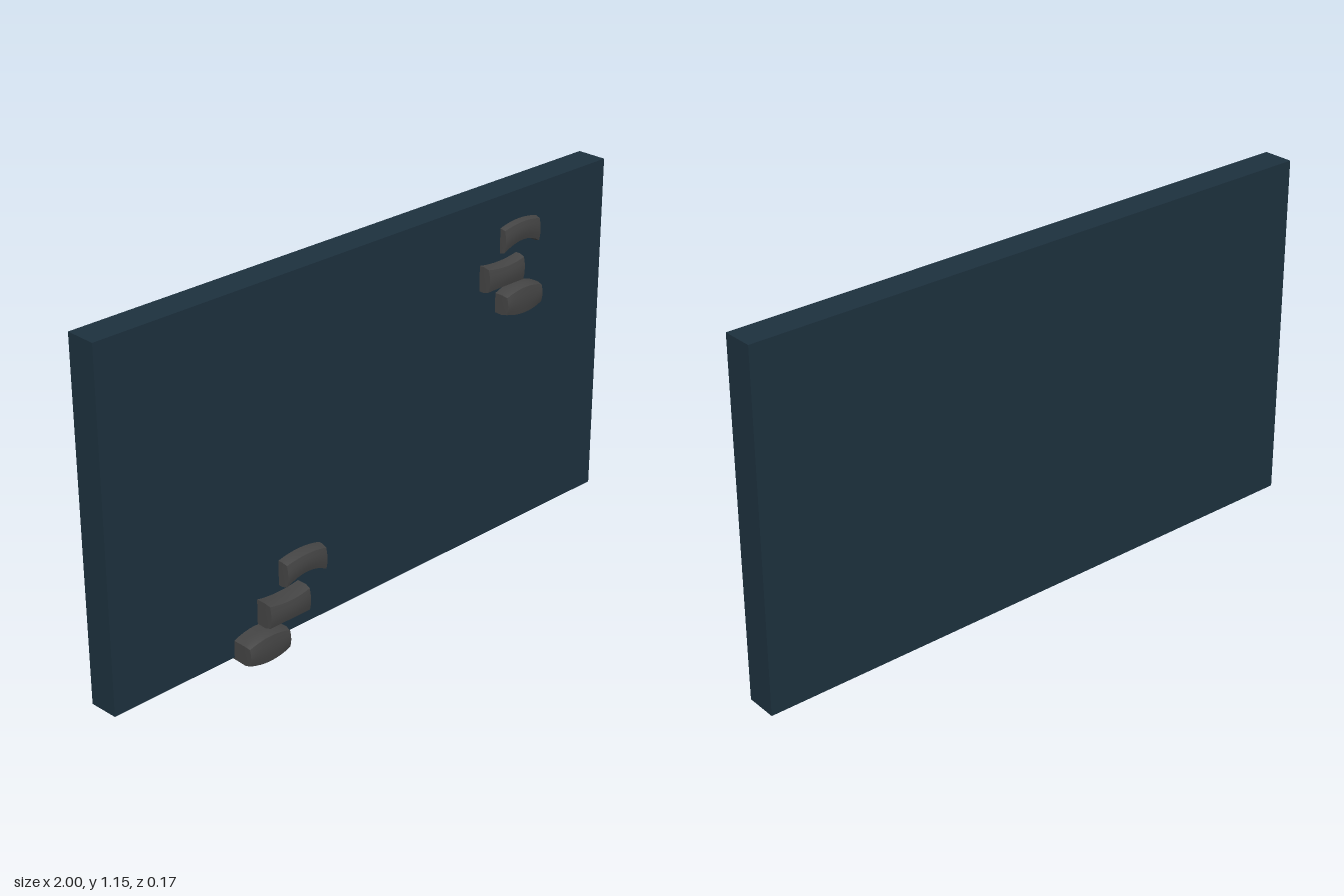
import * as THREE from 'three';

const slabMaterial = new THREE.MeshStandardMaterial({ color: 0x1d313e });
const holdMaterial = new THREE.MeshStandardMaterial({ color: 0x444444 });

// Outline of each hold: top and bottom heights as functions of t = -1..1 along its width
const bump = (t) => 1 - t * t;
const shapes = {
  arched: { top: (t) => 0.037 + 0.011 * bump(t), bottom: (t) => -0.046 + 0.026 * bump(t) },
  waisted: { top: (t) => 0.042 - 0.008 * bump(t), bottom: (t) => -0.042 + 0.004 * bump(t) },
  barrel: { top: (t) => 0.031 + 0.018 * bump(t), bottom: (t) => -0.034 - 0.014 * bump(t) },
};

// A chunky block whose top and bottom follow the outline and whose front edges are softened
function makeHold({ top, bottom }) {
  const width = 0.16, depth = 0.084;
  const geometry = new THREE.BoxGeometry(2, 2, 1, 8, 4, 4);
  const p = geometry.attributes.position;
  for (let i = 0; i < p.count; i++) {
    const t = p.getX(i), v = p.getY(i), f = p.getZ(i) + 0.5;
    const front = f > 0.9 ? 1 : 0;
    const squeeze = front ? 0.86 : 0.95 + 0.05 * f;
    const y = THREE.MathUtils.lerp(bottom(t), top(t), (v * squeeze + 1) / 2);
    const dome = 0.004 * t * t + 0.005 * v * v;
    p.setXYZ(i, t * width / 2 * (front ? 0.97 : 1), y, (f - 1) * depth - dome * f);
  }
  geometry.computeVertexNormals();
  return geometry;
}

export function createModel() {
  const model = new THREE.Group();

  // Wall slab, its underside sloping slightly down to the back
  const slabGeometry = new THREE.BoxGeometry(2, 1.135, 0.1);
  const p = slabGeometry.attributes.position;
  for (let i = 0; i < p.count; i++) {
    if (p.getY(i) < 0 && p.getZ(i) > 0) p.setY(i, p.getY(i) + 0.004);
  }
  slabGeometry.computeVertexNormals();
  const slab = new THREE.Mesh(slabGeometry, slabMaterial);
  slab.name = 'wallSlab';
  slab.position.set(0, 0.5865, -0.037);
  model.add(slab);

  // Two clusters of holds: shape, x, y and z of the front face
  const clusters = {
    upperHolds: [['arched', 0.61, 1.014, 0.039], ['waisted', 0.523, 0.913, 0.057], ['barrel', 0.595, 0.815, 0.069]],
    lowerHolds: [['arched', -0.305, 0.237, 0.056], ['waisted', -0.39, 0.138, 0.075], ['barrel', -0.481, 0.049, 0.087]],
  };
  const geometries = {};
  for (const name in shapes) geometries[name] = makeHold(shapes[name]);
  for (const [name, holds] of Object.entries(clusters)) {
    const group = new THREE.Group();
    group.name = name;
    for (const [shape, x, y, z] of holds) {
      const hold = new THREE.Mesh(geometries[shape], holdMaterial);
      hold.name = shape + 'Hold';
      hold.position.set(x, y, z);
      group.add(hold);
    }
    model.add(group);
  }
  return model;
}
